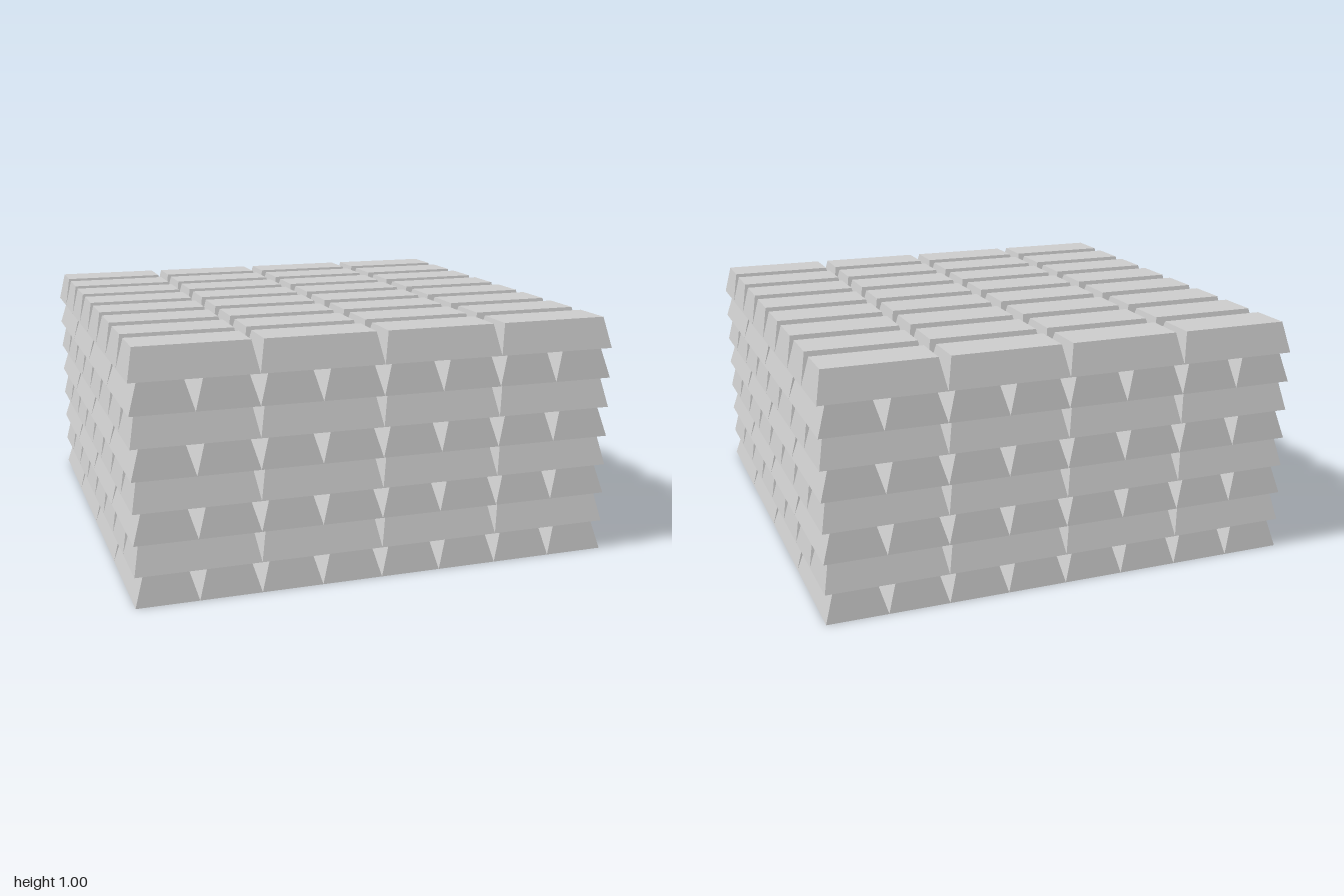
import * as THREE from 'three';

const LAYERS = 8, LENGTH = 0.5, WIDTH = 0.25, HEIGHT = 1 / LAYERS;
const END_INSET = 0.025, SIDE_INSET = 0.037;

// One bar: a box whose top face is pulled in on all four sides
function barGeometry() {
  const geo = new THREE.BoxGeometry(LENGTH, HEIGHT, WIDTH);
  geo.translate(0, HEIGHT / 2, 0);
  const pos = geo.attributes.position;
  for (let i = 0; i < pos.count; i++) {
    if (pos.getY(i) < HEIGHT / 2) continue;
    pos.setX(i, pos.getX(i) - Math.sign(pos.getX(i)) * END_INSET);
    pos.setZ(i, pos.getZ(i) - Math.sign(pos.getZ(i)) * SIDE_INSET);
  }
  geo.computeVertexNormals();
  return geo;
}

// One layer: 4 bars end to end, 8 rows side by side
function createLayer(geo, mat) {
  const layer = new THREE.Group();
  for (let row = 0; row < 8; row++) {
    for (let col = 0; col < 4; col++) {
      const bar = new THREE.Mesh(geo, mat);
      bar.name = 'bar';
      bar.position.set((col - 1.5) * LENGTH, 0, (row - 3.5) * WIDTH);
      layer.add(bar);
    }
  }
  return layer;
}

export function createModel() {
  const model = new THREE.Group();
  model.name = 'barStack';
  const mat = new THREE.MeshStandardMaterial({ color: 0xcccccc, flatShading: true });
  const geo = barGeometry();

  // Layers alternate direction; the bottom one runs front to back
  for (let i = 0; i < LAYERS; i++) {
    const layer = createLayer(geo, mat);
    layer.name = i % 2 ? 'crosswiseLayer' : 'lengthwiseLayer';
    layer.position.y = i * HEIGHT;
    if (i % 2 === 0) layer.rotation.y = Math.PI / 2;
    model.add(layer);
  }
  return model;
}
